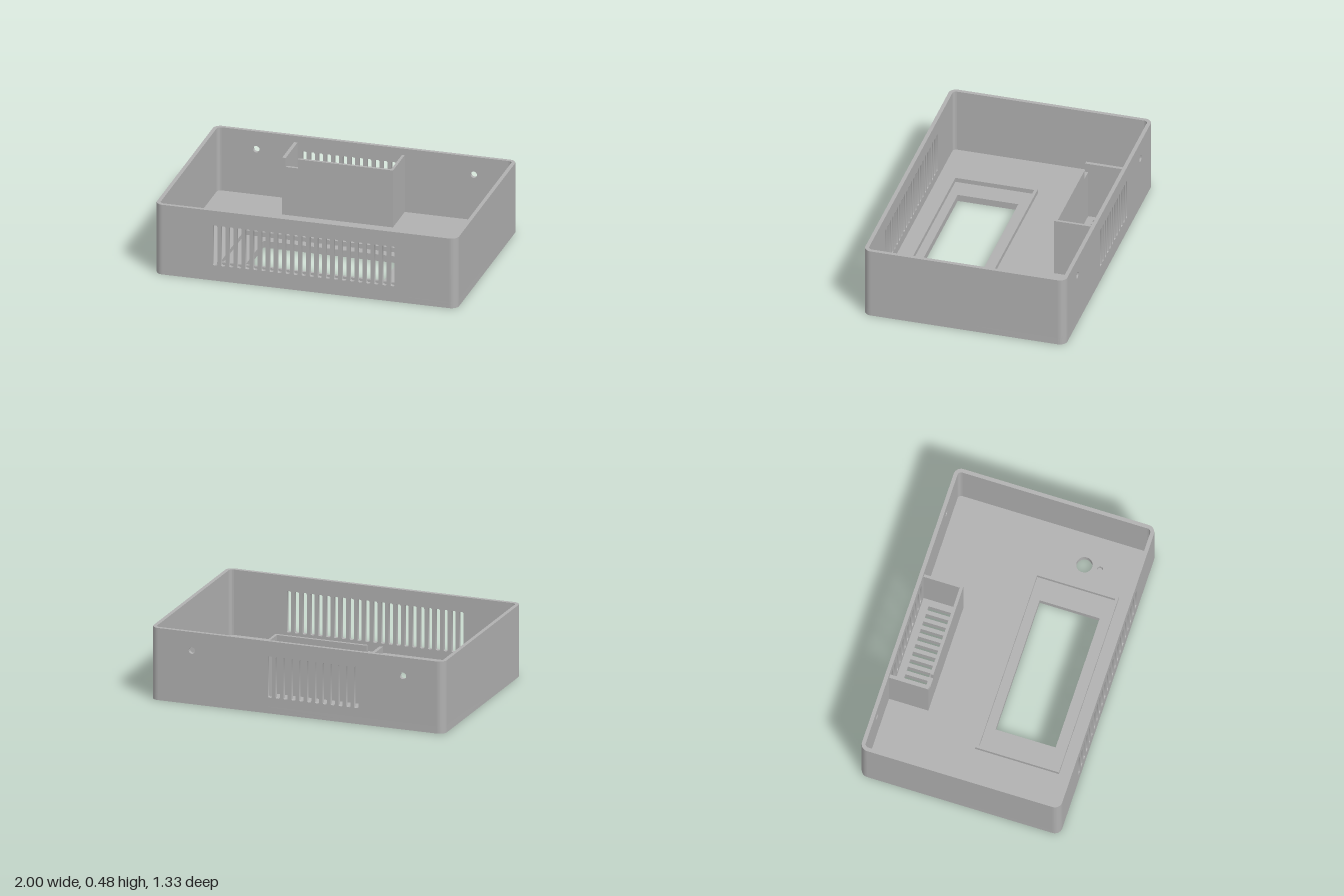
import * as THREE from 'three';
import { toCreasedNormals } from 'three/addons/utils/BufferGeometryUtils.js';

const W = 1, D = 0.667, H = 0.48;      // half width, half depth, height
const T = 0.025, R = 0.05;             // wall thickness, corner radius
const FLOOR = 0.045;

// Rounded rectangle (r = 0 gives square corners)
function rect(x0, y0, x1, y1, r = 0, Type = THREE.Path) {
  const p = new Type();
  p.moveTo(x0 + r, y0);
  p.lineTo(x1 - r, y0);
  if (r) p.absarc(x1 - r, y0 + r, r, -Math.PI / 2, 0);
  p.lineTo(x1, y1 - r);
  if (r) p.absarc(x1 - r, y1 - r, r, 0, Math.PI / 2);
  p.lineTo(x0 + r, y1);
  if (r) p.absarc(x0 + r, y1 - r, r, Math.PI / 2, Math.PI);
  p.lineTo(x0, y0 + r);
  if (r) p.absarc(x0 + r, y0 + r, r, Math.PI, Math.PI * 1.5);
  return p;
}

const circle = (x, y, r) => new THREE.Path().absarc(x, y, r, 0, Math.PI * 2);

function extrude(shape, depth) {
  const g = new THREE.ExtrudeGeometry(shape, { depth, bevelEnabled: false, curveSegments: 12 });
  return toCreasedNormals(g, 0.6);
}

export function createModel() {
  const model = new THREE.Group();
  model.name = 'ventedEnclosure';
  const grey = new THREE.MeshStandardMaterial({ color: 0xb0b0b0 });
  grey.name = 'grey plastic';

  const add = (name, geometry) => {
    const m = new THREE.Mesh(geometry, grey);
    m.name = name;
    model.add(m);
    return m;
  };
  // Plan shapes use (x, -z) and are extruded upwards from y
  const addPlan = (name, shape, y, height) => {
    const m = add(name, extrude(shape, height).rotateX(-Math.PI / 2));
    m.position.y = y;
    return m;
  };
  const addBox = (name, x0, y0, z0, x1, y1, z1) => {
    const m = add(name, new THREE.BoxGeometry(x1 - x0, y1 - y0, z1 - z0));
    m.position.set((x0 + x1) / 2, (y0 + y1) / 2, (z0 + z1) / 2);
  };

  // Floor in two layers: the small indicator hole is only cut into the upper one
  const floorShape = () => {
    const s = rect(-W, -D, W, D, R, THREE.Shape);
    s.holes.push(rect(-0.46, -0.465, 0.455, -0.065));      // display window
    s.holes.push(circle(0.77, -0.262, 0.052));             // knob hole
    for (let i = 0; i < 12; i++) {                         // floor vents
      const x = -0.401 + i * 0.0535;
      s.holes.push(rect(x - 0.0135, 0.444, x + 0.0135, 0.594));
    }
    return s;
  };
  addPlan('floorLower', floorShape(), 0, 0.02);
  const upper = floorShape();
  upper.holes.push(circle(0.77, -0.365, 0.019));
  addPlan('floorUpper', upper, 0.02, FLOOR - 0.02);

  // Low rim around the display window
  const rim = rect(-0.625, -0.54, 0.62, 0.018, 0, THREE.Shape);
  rim.holes.push(rect(-0.605, -0.522, 0.6, -0.002));
  addPlan('displayRim', rim, FLOOR, 0.03);

  // Front and back walls with vent slots
  const wall = (name, z, count, firstX, pitch, screwHoles) => {
    const s = rect(-W + R, FLOOR, W - R, H, 0, THREE.Shape);
    for (let i = 0; i < count; i++) {
      const x = firstX + i * pitch;
      s.holes.push(rect(x - 0.0145, 0.105, x + 0.0145, 0.38, 0.009));
    }
    for (const x of screwHoles) s.holes.push(circle(x, 0.357, 0.022));
    add(name, extrude(s, T)).position.z = z;
  };
  wall('frontWall', D - T, 23, -0.601, 0.0534, []);
  wall('backWall', -D, 12, -0.401, 0.0535, [-0.72, 0.72]);

  // Plain side walls
  addBox('rightWall', -W, FLOOR, -D + R, -W + T, H, D - R);
  addBox('leftWall', W - T, FLOOR, -D + R, W, H, D - R);

  // Rounded vertical corners
  for (let i = 0; i < 4; i++) {
    const a = i * Math.PI / 2;
    const s = new THREE.Shape();
    s.absarc(0, 0, R, a, a + Math.PI / 2, false);
    s.absarc(0, 0, R - T, a + Math.PI / 2, a, true);
    s.closePath();
    const m = addPlan('corner' + (i + 1), s, FLOOR, H - FLOOR);
    m.position.x = (i === 0 || i === 3 ? 1 : -1) * (W - R);
    m.position.z = (i < 2 ? -1 : 1) * (D - R);
  }

  // Duct around the rear vents, its front wall notched for a cable
  const top = 0.437, notch = 0.375;
  addBox('ductRightWall', -0.47, FLOOR, -D + T, -0.447, top, -0.38);
  addBox('ductLeftWall', 0.245, FLOOR, -D + T, 0.263, top, -0.38);
  const front = new THREE.Shape([
    [-0.447, FLOOR], [0.245, FLOOR], [0.245, top], [-0.367, top], [-0.367, notch], [-0.447, notch],
  ].map(([x, y]) => new THREE.Vector2(x, y)));
  add('ductFrontWall', extrude(front, 0.02)).position.z = -0.4;

  return model;
}
